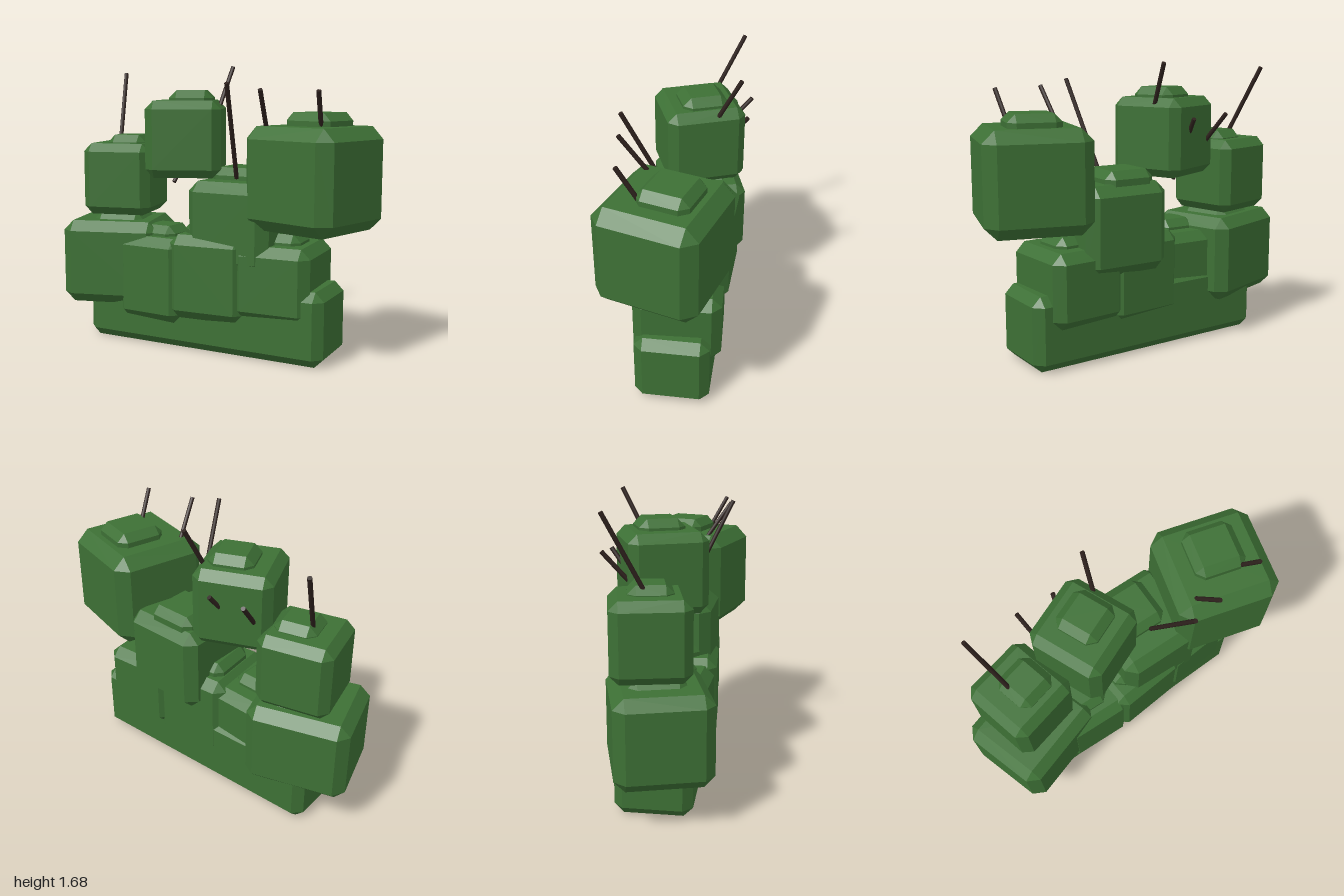
import * as THREE from 'three';
import { ConvexGeometry } from 'three/addons/geometries/ConvexGeometry.js';

const leafMat = new THREE.MeshStandardMaterial({ color: 0x3d7035, flatShading: true });
const twigMat = new THREE.MeshStandardMaterial({ color: 0x2e211d });

// Box with all edges and corners cut flat
function chamferBox(w, h, d, c) {
  const [x, y, z] = [w / 2, h / 2, d / 2];
  const pts = [];
  for (const i of [-1, 1]) for (const j of [-1, 1]) for (const k of [-1, 1]) {
    pts.push(
      new THREE.Vector3(i * x, j * (y - c), k * (z - c)),
      new THREE.Vector3(i * (x - c), j * y, k * (z - c)),
      new THREE.Vector3(i * (x - c), j * (y - c), k * z)
    );
  }
  return new ConvexGeometry(pts);
}

function block(name, w, h, d, c, x, y, z) {
  const mesh = new THREE.Mesh(chamferBox(w, h, d, c), leafMat);
  mesh.name = name;
  mesh.position.set(x, y, z);
  return mesh;
}

// Leafy clump: chamfered block with a smaller cap sunk into its top
function clump({ name, pos: [x, z], y: [y0, y1], size: [w, d], turn, chamfer, cap: [cx, cz, cs, cTop] }) {
  const group = new THREE.Group();
  group.name = name;
  const body = block('foliage', w, y1 - y0, d, chamfer, x, (y0 + y1) / 2, z);
  const capBottom = y1 - 0.1;
  const cap = block('foliageCap', cs, cTop - capBottom, cs, 0.045, cx, (cTop + capBottom) / 2, cz);
  body.rotation.y = cap.rotation.y = turn;
  group.add(body, cap);
  return group;
}

// Thin straight twig between two points
function twig(a, b) {
  const from = new THREE.Vector3(...a), to = new THREE.Vector3(...b);
  const dir = to.clone().sub(from);
  const mesh = new THREE.Mesh(new THREE.CylinderGeometry(0.013, 0.013, dir.length(), 8), twigMat);
  mesh.name = 'twig';
  mesh.position.copy(from).add(to).multiplyScalar(0.5);
  mesh.quaternion.setFromUnitVectors(new THREE.Vector3(0, 1, 0), dir.normalize());
  return mesh;
}

export function createModel() {
  const model = new THREE.Group();
  model.name = 'hedge';

  // Long low base
  model.add(block('hedgeBase', 1.55, 0.43, 0.43, 0.052, 0, 0.215, -0.03));

  // Clumps; cap holds x, z, size and top height
  const clumps = [
    { name: 'lowerRightClump', pos: [-0.65, -0.01], y: [0.23, 0.74], size: [0.6, 0.53], turn: 0.28, chamfer: 0.06, cap: [-0.635, -0.03, 0.31, 0.785] },
    { name: 'lowerMiddleRightClump', pos: [-0.305, 0], y: [0.155, 0.665], size: [0.44, 0.46], turn: -0.06, chamfer: 0.055, cap: [-0.3, 0.02, 0.24, 0.725] },
    { name: 'lowerMiddleLeftClump', pos: [0.06, -0.01], y: [0.2, 0.7], size: [0.48, 0.5], turn: 0.06, chamfer: 0.055, cap: [0.04, -0.02, 0.32, 0.77] },
    { name: 'lowerLeftClump', pos: [0.455, -0.04], y: [0.235, 0.665], size: [0.46, 0.5], turn: 0.05, chamfer: 0.055, cap: [0.465, -0.04, 0.25, 0.725] },
    { name: 'upperRightClump', pos: [-0.635, -0.06], y: [0.77, 1.21], size: [0.43, 0.43], turn: 0.22, chamfer: 0.05, cap: [-0.595, -0.06, 0.245, 1.26] },
    { name: 'topClump', pos: [-0.195, -0.06], y: [1.02, 1.475], size: [0.45, 0.45], turn: 0.38, chamfer: 0.05, cap: [-0.165, -0.08, 0.26, 1.535] },
    { name: 'middleClump', pos: [0.2, -0.055], y: [0.5, 1.015], size: [0.52, 0.53], turn: -0.04, chamfer: 0.06, cap: [0.165, -0.12, 0.31, 1.085] },
    { name: 'upperLeftClump', pos: [0.655, 0.01], y: [0.76, 1.34], size: [0.6, 0.59], turn: -0.29, chamfer: 0.07, cap: [0.67, -0.03, 0.3, 1.415] }
  ];
  for (const c of clumps) model.add(clump(c));

  // Twigs, tip first
  const twigs = [
    [[-0.765, 1.64, -0.275], [-0.68, 1.22, -0.07]],
    [[-0.007, 1.675, -0.315], [-0.04, 1.4, -0.17]],
    [[0.258, 1.575, 0.305], [0.192, 1.03, 0.04]],
    [[0.445, 1.54, 0.28], [0.41, 1.25, 0.08]],
    [[0.757, 1.535, 0.23], [0.73, 1.3, 0.1]],
    [[-0.2, 1.36, -0.345], [-0.28, 0.975, -0.05]],
    [[-0.43, 1.38, -0.352], [-0.39, 1.18, -0.18]]
  ];
  for (const [tip, foot] of twigs) model.add(twig(tip, foot));

  return model;
}
